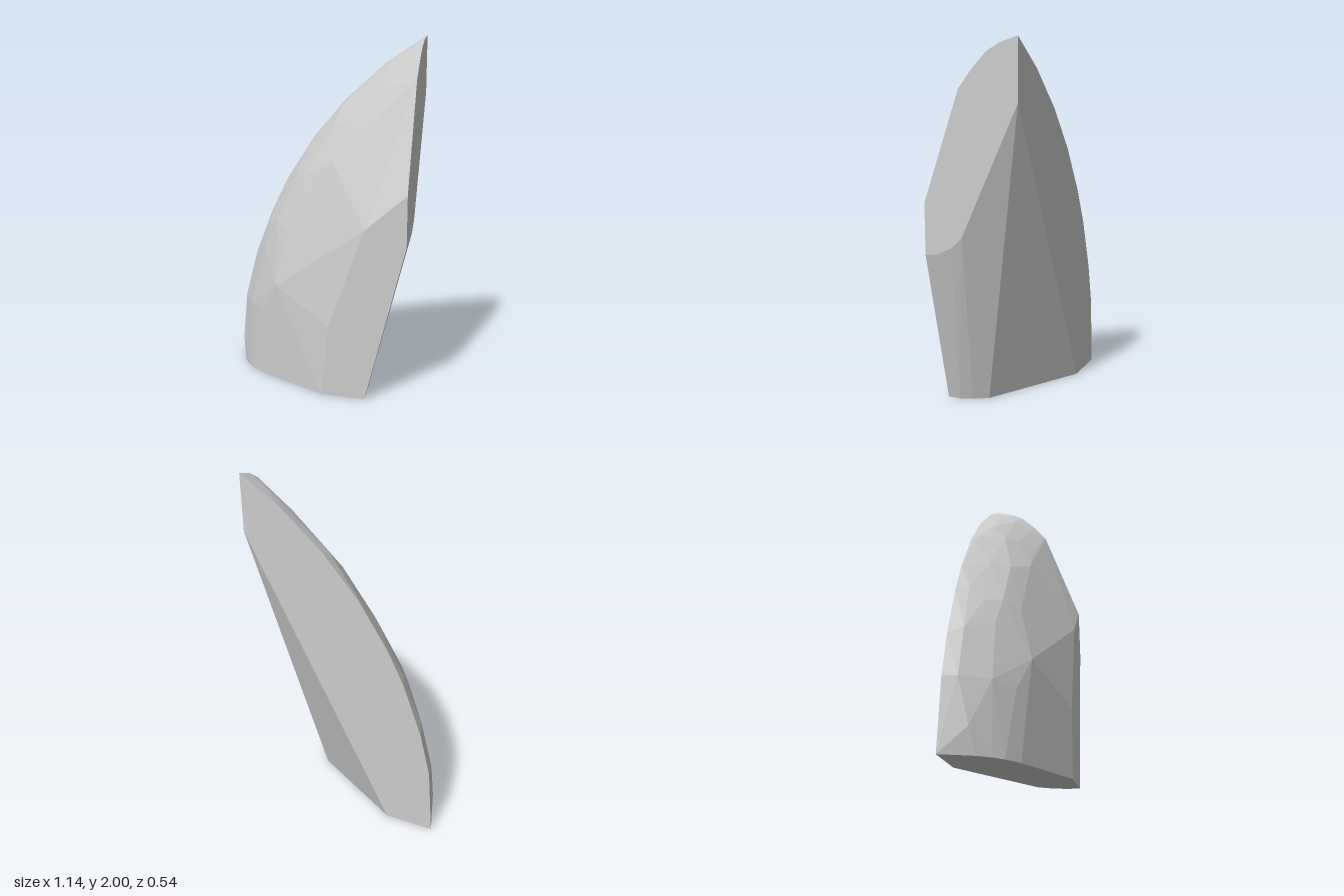
import * as THREE from 'three';
import { ConvexGeometry } from 'three/addons/geometries/ConvexGeometry.js';

export function createModel() {
  const stone = new THREE.MeshStandardMaterial({ color: 0xcccccc });
  stone.name = 'paleGrey';
  stone.flatShading = true;

  // Flat cut planes that bound the shard
  const right = 0.57, back = -0.27, front = 0.27;
  const points = [];
  const add = (list) => list.forEach((p) => points.push(new THREE.Vector3(...p)));

  // Back cut: outer arc as [x, y], and the corner on the base
  add([[-0.57, 0], [-0.54, 0.4], [-0.48, 0.65], [-0.37, 0.95], [-0.27, 1.15], [-0.1, 1.41],
    [0.1, 1.64], [0.34, 1.85], [right, 2], [right, 1.68], [-0.29, 0]].map(([x, y]) => [x, y, back]));

  // Right cut: upper arc and lower arc as [z, y]
  add([[-0.17, 1.97], [-0.1, 1.93], [-0.02, 1.85], [0.06, 1.75],
    [0.05, 0.99], [0.11, 0.93], [0.2, 0.89]].map(([z, y]) => [right, y, z]));

  // Front cut as [x, y]
  add([[right, 1.16], [0.34, 0.96], [0.14, 0.4], [0.1, 0], [0.35, 0], [right, 0.88]]
    .map(([x, y]) => [x, y, front]));

  // Base outline as [x, z]: outer curve, then inner curve
  add([[-0.5, -0.1], [-0.45, -0.03], [-0.4, 0.02], [-0.31, 0.08],
    [0.27, 0.05], [0.32, 0.13], [0.345, 0.2]].map(([x, z]) => [x, 0, z]));

  // Facet corners of the bulging outer shell, in rows from back to front
  add([[0.5, 1.92, -0.16], [0.34, 1.82, -0.2], [0.1, 1.61, -0.19], [-0.1, 1.4, -0.25],
    [-0.34, 0.97, -0.2], [-0.45, 0.69, -0.19], [-0.525, 0.4, -0.19], [-0.525, 0.14, -0.13]]);
  add([[0.36, 1.78, -0.11], [0.19, 1.63, -0.13], [0.07, 1.5, -0.1], [-0.17, 1.2, -0.13],
    [-0.34, 0.88, -0.12]]);
  add([[0.41, 1.72, -0.02], [0.17, 1.52, -0.04], [-0.09, 1.2, -0.03], [-0.26, 0.92, -0.03],
    [-0.34, 0.75, -0.05], [-0.43, 0.4, -0.04]]);
  add([[0.28, 1.5, 0.04], [0.1, 1.3, 0.05], [-0.17, 0.88, 0.05], [-0.22, 0.57, 0.12],
    [-0.32, 0.38, 0.06]]);

  const shard = new THREE.Mesh(new ConvexGeometry(points), stone);
  shard.name = 'shard';
  const group = new THREE.Group();
  group.name = 'brokenShard';
  group.add(shard);
  return group;
}
